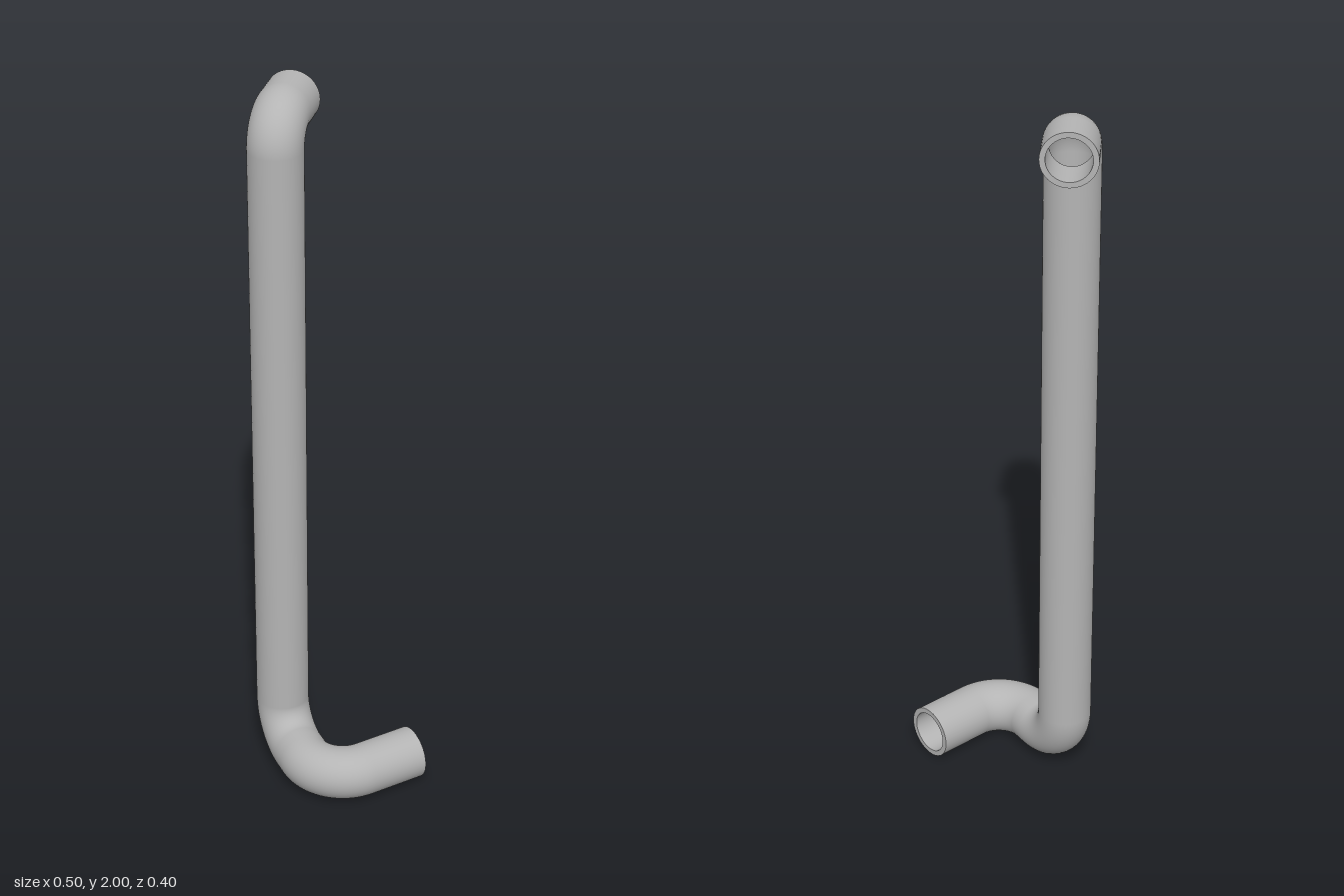
import * as THREE from 'three';

const OUTER = 0.073, INNER = 0.058, SIDES = 48, BEND_STEPS = 20;

// Centreline corners, each with its bend radius
const corners = [
  { p: [-0.18, 1.927, -0.203] },
  { p: [-0.18, 1.927, -0.038], r: 0.076 },
  { p: [-0.18, 0.073, -0.038], r: 0.116 },
  { p: [-0.0035, 0.073, 0.1855], r: 0.116 },
  { p: [0.2, 0.073, -0.018] },
].map(({ p, r }) => ({ p: new THREE.Vector3(...p), r }));

// Positions and tangents along straight runs joined by circular bends
function makeStations() {
  const dir = (i) => corners[i + 1].p.clone().sub(corners[i].p).normalize();
  const last = corners.length - 1;
  const stations = [{ p: corners[0].p, t: dir(0) }];
  for (let i = 1; i < last; i++) {
    const { p, r } = corners[i];
    const a = dir(i - 1), b = dir(i);
    const turn = a.angleTo(b);
    const start = p.clone().addScaledVector(a, -r * Math.tan(turn / 2));
    const inward = b.clone().addScaledVector(a, -a.dot(b)).normalize();
    for (let k = 0; k <= BEND_STEPS; k++) {
      const s = (turn * k) / BEND_STEPS;
      stations.push({
        p: start.clone().addScaledVector(a, r * Math.sin(s)).addScaledVector(inward, r * (1 - Math.cos(s))),
        t: a.clone().multiplyScalar(Math.cos(s)).addScaledVector(inward, Math.sin(s)),
      });
    }
  }
  stations.push({ p: corners[last].p, t: dir(last - 1) });
  return stations;
}

// Curve that steps exactly through the stations
class PipePath extends THREE.Curve {
  constructor(stations) {
    super();
    this.stations = stations;
  }
  at(u) { return this.stations[Math.round(u * (this.stations.length - 1))]; }
  getPoint(u, target = new THREE.Vector3()) { return target.copy(this.at(u).p); }
  getPointAt(u, target) { return this.getPoint(u, target); }
  getTangentAt(u, target = new THREE.Vector3()) { return target.copy(this.at(u).t); }
}

// Turn a surface to face inward
function invert(geometry) {
  geometry.index.array.reverse();
  const n = geometry.attributes.normal;
  for (let i = 0; i < n.count; i++) n.setXYZ(i, -n.getX(i), -n.getY(i), -n.getZ(i));
  return geometry;
}

export function createModel() {
  const group = new THREE.Group();
  group.name = 'bentPipe';
  const metal = new THREE.MeshStandardMaterial({ color: 0xb4b4b4 });
  metal.name = 'grey metal';

  const stations = makeStations();
  const path = new PipePath(stations);
  const add = (name, geometry) => {
    const mesh = new THREE.Mesh(geometry, metal);
    mesh.name = name;
    group.add(mesh);
    return mesh;
  };

  // Outer wall and hollow bore
  const sweep = (radius) => new THREE.TubeGeometry(path, stations.length - 1, radius, SIDES, false);
  add('outerWall', sweep(OUTER));
  add('innerBore', invert(sweep(INNER)));

  // Flat annular rims at both open ends
  const rim = (name, { p, t }, sign) => {
    const mesh = add(name, new THREE.RingGeometry(INNER, OUTER, SIDES));
    mesh.position.copy(p);
    mesh.quaternion.setFromUnitVectors(new THREE.Vector3(0, 0, 1), t.clone().multiplyScalar(sign));
  };
  rim('topRim', stations[0], -1);
  rim('bottomRim', stations[stations.length - 1], 1);

  return group;
}
